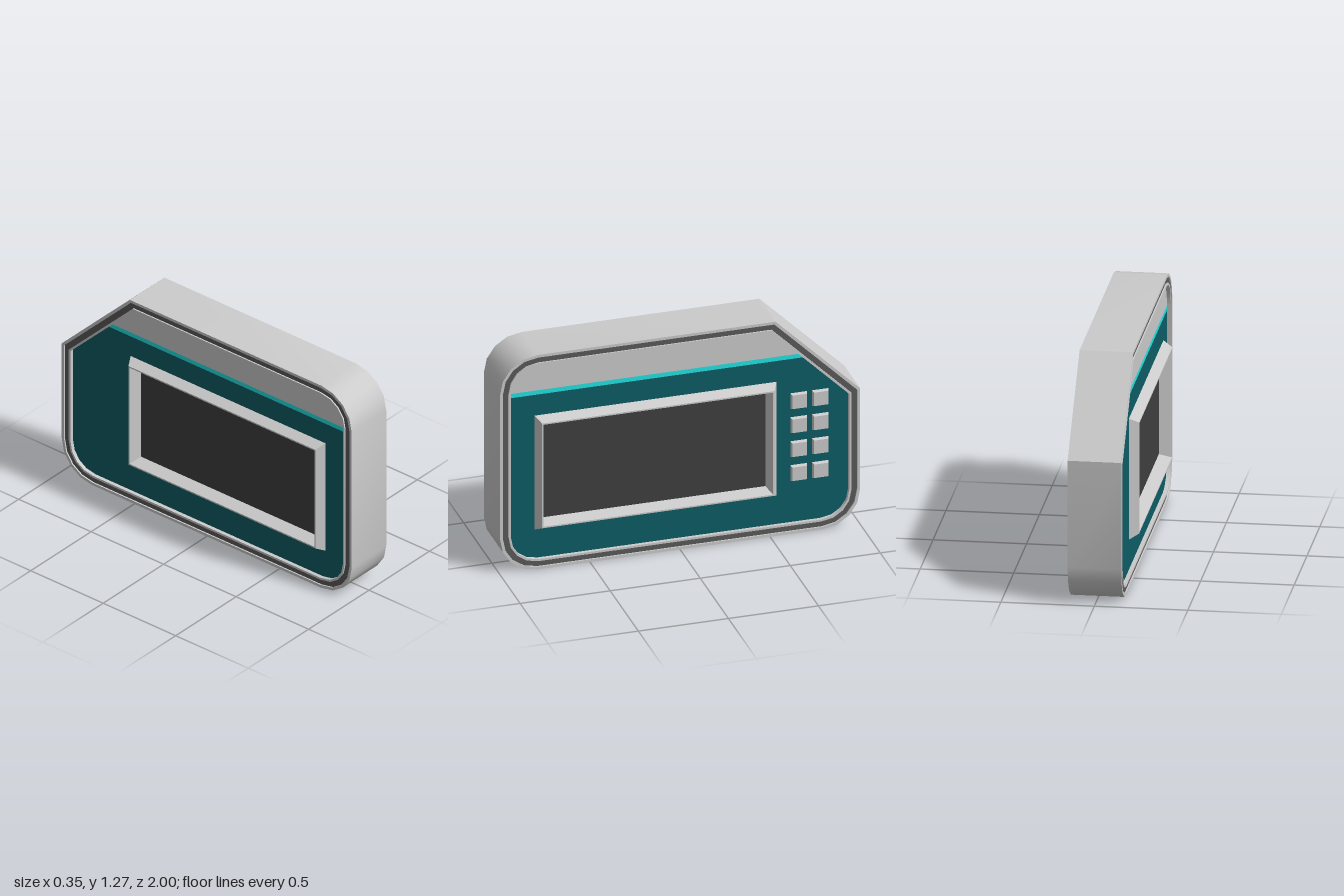
import * as THREE from 'three';
import { toCreasedNormals } from 'three/addons/utils/BufferGeometryUtils.js';

const HALF = 0.143;   // half thickness of the case
const FACE = 0.122;   // half thickness at the recessed face panel
const paint = (color) => new THREE.MeshStandardMaterial({ color });
const grey = paint(0xcccccc), dark = paint(0x5a5a5a), teal = paint(0x0e5d66),
  cyan = paint(0x22e4e4), black = paint(0x3f3f3f);

// Case outline as seen from +x (u = -z, v = y): three rounded corners, one cut corner
function caseOutline() {
  const pts = [], r = 0.21, n = 4;
  const corner = (cu, cv, start) => {
    for (let i = 0; i <= n; i++) {
      const a = start + (i / n) * Math.PI / 2;
      pts.push(new THREE.Vector2(cu + r * Math.cos(a), cv + r * Math.sin(a)));
    }
  };
  corner(-1 + r, r, Math.PI);
  corner(1 - r, r, -Math.PI / 2);
  pts.push(new THREE.Vector2(1, 0.805), new THREE.Vector2(0.53, 1.27));
  corner(-1 + r, 1.27 - r, Math.PI / 2);
  return pts;
}

// Mitred inset of a counter-clockwise polygon
function inset(pts, d) {
  return pts.map((p, i) => {
    const a = pts[(i + pts.length - 1) % pts.length], b = pts[(i + 1) % pts.length];
    const e1 = p.clone().sub(a).normalize(), e2 = b.clone().sub(p).normalize();
    const n1 = new THREE.Vector2(-e1.y, e1.x), n2 = new THREE.Vector2(-e2.y, e2.x);
    return p.clone().addScaledVector(n1.clone().add(n2), d / (1 + n1.dot(n2)));
  });
}

// Keep the part of a polygon above (sign 1) or below (sign -1) height v
function clip(pts, v, sign) {
  const out = [];
  pts.forEach((p, i) => {
    const q = pts[(i + 1) % pts.length];
    const a = (p.y - v) * sign, b = (q.y - v) * sign;
    if (a >= 0) out.push(p);
    if (a * b < 0) out.push(p.clone().lerp(q, a / (a - b)));
  });
  return out;
}

// Slab of an outline through the thickness, with an optional hole
function slab(name, pts, hole, half, material) {
  const shape = new THREE.Shape(pts);
  if (hole) shape.holes.push(new THREE.Path(hole));
  const geo = new THREE.ExtrudeGeometry(shape, { depth: 2 * half, bevelEnabled: false });
  geo.translate(0, 0, -half);
  geo.rotateY(Math.PI / 2);
  const mesh = new THREE.Mesh(toCreasedNormals(geo, 0.5), material);
  mesh.name = name;
  return mesh;
}

// Screen surround rectangle, inset by d
const windowRect = (d) => [
  new THREE.Vector2(-0.805 + d, 0.225 + d), new THREE.Vector2(0.545 - d, 0.225 + d),
  new THREE.Vector2(0.545 - d, 0.905 - d), new THREE.Vector2(-0.805 + d, 0.905 - d),
];

// Raised bezel on both faces, lofted through rectangles [inset, x]
function screenBezel() {
  const half = [[0.06, 0.104], [0.038, 0.173], [0.03, 0.173], [0, FACE - 0.005]];
  const profile = [...half, ...half.slice().reverse().map(([d, x]) => [d, -x])];
  const loops = profile.map(([d, x]) => windowRect(d).map((p) => [x, p.y, -p.x]));
  const pos = [];
  for (let i = 0; i < loops.length - 1; i++) {
    for (let j = 0; j < 4; j++) {
      const k = (j + 1) % 4;
      const a = loops[i][j], b = loops[i][k], c = loops[i + 1][k], d = loops[i + 1][j];
      pos.push(...a, ...c, ...b, ...a, ...d, ...c);
    }
  }
  const geo = new THREE.BufferGeometry();
  geo.setAttribute('position', new THREE.Float32BufferAttribute(pos, 3));
  geo.computeVertexNormals();
  const mesh = new THREE.Mesh(geo, grey);
  mesh.name = 'screenBezel';
  return mesh;
}

// Square key whose outer face is slightly smaller than its base
function keyGeometry() {
  const geo = new THREE.BoxGeometry(0.03, 0.1, 0.1).toNonIndexed();
  const p = geo.attributes.position;
  for (let i = 0; i < p.count; i++) {
    if (p.getX(i) > 0) p.setXYZ(i, p.getX(i), p.getY(i) * 0.8, p.getZ(i) * 0.8);
  }
  geo.computeVertexNormals();
  return geo;
}

export function createModel() {
  const model = new THREE.Group();
  model.name = 'handheldDevice';
  const edge = caseOutline();
  const face = inset(edge, 0.06);

  // Case rim with a dark groove between two lips
  model.add(
    slab('caseShell', edge, inset(edge, 0.016), HALF, grey),
    slab('rimGroove', inset(edge, 0.016), inset(edge, 0.048), HALF - 0.008, dark),
    slab('innerLip', inset(edge, 0.048), face, HALF, grey),
  );

  // Recessed face: lower panel, bright stripe, upper panel
  model.add(
    slab('lowerPanel', clip(face, 1.025, -1), windowRect(0.05), FACE, teal),
    slab('stripe', clip(clip(face, 1.025, 1), 1.05, -1), null, FACE, cyan),
    slab('upperPanel', clip(face, 1.05, 1), null, FACE, grey),
  );

  // Screens on both sides with their bezel
  model.add(slab('screen', windowRect(0.055), null, 0.105, black), screenBezel());

  // Keypad on the left side only
  const keypad = new THREE.Group();
  keypad.name = 'keypad';
  const keyGeo = keyGeometry();
  for (let row = 0; row < 4; row++) {
    for (const z of [-0.665, -0.785]) {
      const key = new THREE.Mesh(keyGeo, grey);
      key.name = 'key';
      key.position.set(0.126, 0.35 + row * 0.142, z);
      keypad.add(key);
    }
  }
  model.add(keypad);
  return model;
}
